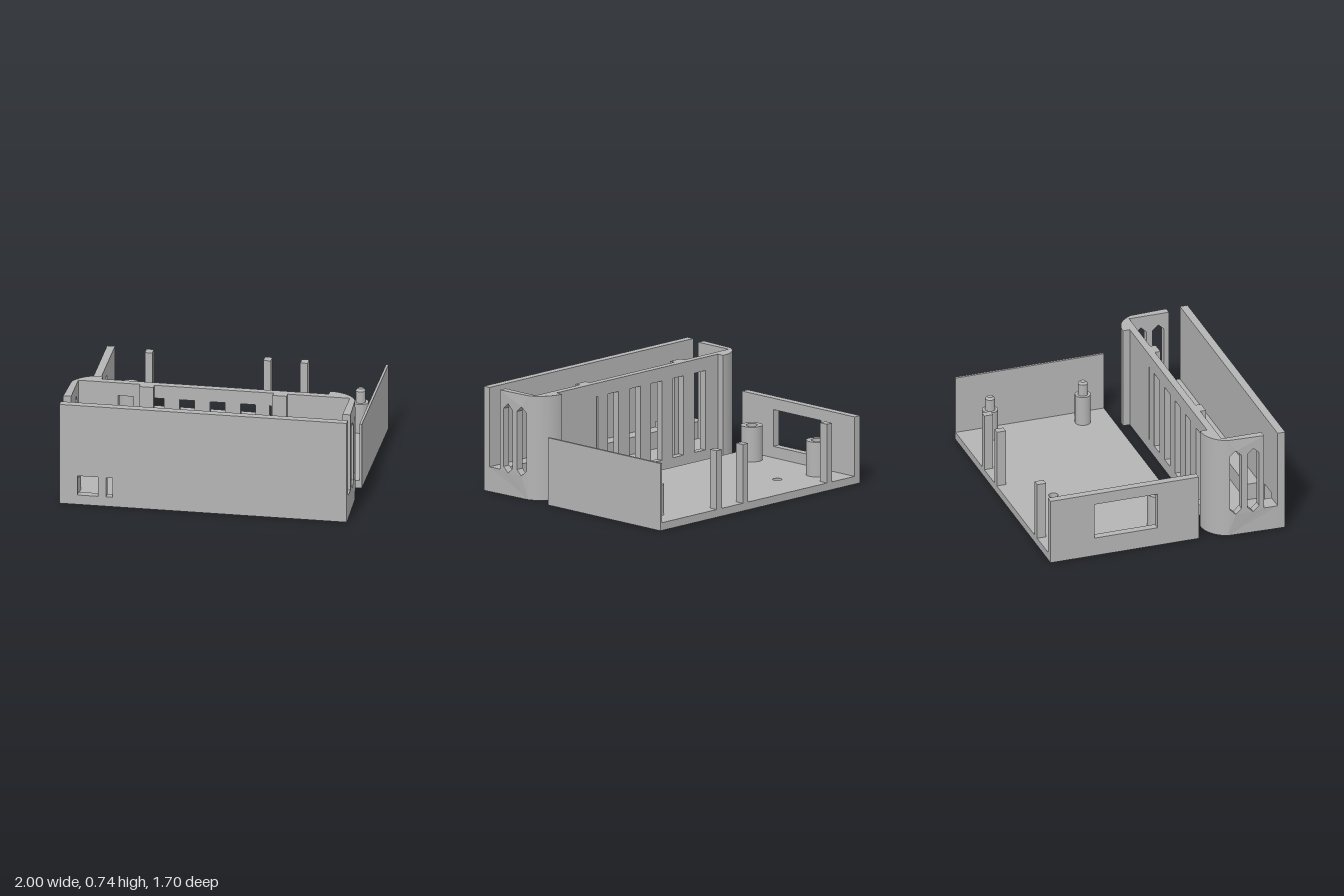
import * as THREE from 'three';
import { toCreasedNormals } from 'three/addons/utils/BufferGeometryUtils.js';

const grey = new THREE.MeshStandardMaterial({ color: 0xb4b4b4 });
grey.name = 'plain grey';

function add(group, name, geometry) {
  const mesh = new THREE.Mesh(geometry, grey);
  mesh.name = name;
  group.add(mesh);
  return mesh;
}

// Box given by its minimum and maximum on each axis
function box(group, name, x0, x1, y0, y1, z0, z1) {
  const g = new THREE.BoxGeometry(x1 - x0, y1 - y0, z1 - z0);
  g.translate((x0 + x1) / 2, (y0 + y1) / 2, (z0 + z1) / 2);
  return add(group, name, g);
}

const poly = (pts) => new THREE.Shape(pts.map(([a, b]) => new THREE.Vector2(a, b)));
const rect = (a0, a1, b0, b1) => poly([[a0, b0], [a1, b0], [a1, b1], [a0, b1]]);
const disc = (x, y, r) => new THREE.Shape().absarc(x, y, r, 0, Math.PI * 2);

function extrude(shape, depth, holes = []) {
  shape.holes.push(...holes);
  return new THREE.ExtrudeGeometry(shape, { depth, bevelEnabled: false, curveSegments: 32 });
}

// Plan outline drawn as (x, -z), raised from y0 to y1
function raise(shape, y0, y1, holes) {
  const g = extrude(shape, y1 - y0, holes).rotateX(-Math.PI / 2).translate(0, y0, 0);
  return toCreasedNormals(g, 0.5);
}

// Side outline drawn as (z, y), filling x0 to x1
function sideways(shape, x0, x1, holes) {
  return extrude(shape, x1 - x0, holes).rotateY(-Math.PI / 2).translate(x1, 0, 0);
}

const FLOOR = 0.055;
const H = 0.735;

function buildBase() {
  const base = new THREE.Group();
  base.name = 'baseTray';

  // Floor with two screw holes
  add(base, 'baseFloor', raise(rect(-0.96, 1, -0.23, 0.85), 0, FLOOR,
    [disc(-0.475, 0.53, 0.033), disc(-0.12, 0.53, 0.033)]));

  // Thick end wall with a window, thin end wall opposite
  add(base, 'windowWall', sideways(rect(-0.85, 0.23, FLOOR, 0.475), -0.96, -0.905,
    [rect(-0.53, -0.07, 0.135, 0.395)]));
  box(base, 'thinWall', 0.983, 1, FLOOR, 0.475, -0.85, 0.23);

  // Square posts along the back edge
  for (const x of [-0.66, 0.165, 0.422]) {
    box(base, 'backPost', x - 0.026, x + 0.026, FLOOR, 0.47, -0.85, -0.785);
  }

  // Hollow screw bosses
  for (const z of [-0.625, 0]) {
    add(base, 'screwBoss', raise(disc(-0.765, -z, 0.075), FLOOR, 0.3, [disc(-0.765, -z, 0.04)]));
  }

  // Stepped locating pegs with chamfered tips
  const profile = [[0.055, FLOOR], [0.055, 0.27], [0.034, 0.27], [0.034, 0.355], [0.02, 0.37], [0, 0.37]];
  for (const z of [-0.65, 0.025]) {
    const g = new THREE.LatheGeometry(profile.map(([r, y]) => new THREE.Vector2(r, y)), 32);
    add(base, 'locatingPeg', toCreasedNormals(g, 0.5)).position.set(0.84, 0, z);
  }
  return base;
}

// Tall slot pointed at both ends
const slot = (z0, z1) => poly([[z0, 0.2], [(z0 + z1) / 2, 0.16], [z1, 0.2],
  [z1, 0.61], [(z0 + z1) / 2, 0.65], [z0, 0.61]]);

function buildShell() {
  const shell = new THREE.Group();
  shell.name = 'coverShell';

  // Front plate with connector openings
  add(shell, 'frontPlate', extrude(rect(-1, 1, 0, H), 0.055,
    [rect(-0.875, -0.73, 0.07, 0.212), rect(-0.675, -0.63, 0.07, 0.212)]).translate(0, 0, 0.79));

  box(shell, 'shellFloor', -0.945, 0.945, 0, FLOOR, 0.4, 0.79);
  box(shell, 'ledgeShort', -0.945, -0.875, FLOOR, 0.175, 0.69, 0.79);
  box(shell, 'ledgeLong', -0.63, 0.945, FLOOR, 0.175, 0.69, 0.79);

  // Back wall with a row of vents and one narrow slit
  const vents = [rect(0.385, 0.4, 0.08, 0.64)];
  for (let i = 0; i < 5; i++) {
    const x = 0.237 - i * 0.213;
    vents.push(rect(x - 0.053, x + 0.053, 0.08, 0.64));
  }
  add(shell, 'backWall', extrude(rect(-0.79, 0.79, 0, H), 0.05, vents).translate(0, 0, 0.35));

  for (const s of [-1, 1]) {
    // Slotted side wall, its outer face following the corner curve
    const outline = poly([[0.43, 0], [0.79, 0], [0.79, 0.175], [0.69, 0.175], [0.69, H], [0.43, H]]);
    const g = sideways(outline, s > 0 ? 0.945 : -1, s > 0 ? 1 : -0.945,
      [slot(0.445, 0.527), slot(0.57, 0.655)]);
    const p = g.attributes.position;
    for (let i = 0; i < p.count; i++) {
      const dz = 0.5 - p.getZ(i);
      if (Math.abs(p.getX(i)) > 0.99 && dz > 0) p.setX(i, s * (0.8 + Math.sqrt(0.04 - dz * dz)));
    }
    g.computeVertexNormals();
    add(shell, 'slottedSide', g);

    // Rounded back corner, square inside
    const pts = [];
    const start = Math.asin(0.35);
    for (let i = 0; i <= 24; i++) {
      const a = start + (Math.PI / 2 - start) * i / 24;
      pts.push([s * (0.8 + 0.2 * Math.cos(a)), -(0.5 - 0.2 * Math.sin(a))]);
    }
    pts.push([s * 0.79, -0.3], [s * 0.79, -0.4], [s * 0.945, -0.4], [s * 0.945, -0.43]);
    add(shell, 'roundedCorner', raise(poly(pts), 0, H));

    // Board clip: tall rib on the back wall and a low hook
    const span = (a, b) => (s > 0 ? [a, b] : [-b, -a]);
    box(shell, 'clipRib', ...span(0.415, 0.513), FLOOR, H, 0.4, 0.44);
    box(shell, 'clipArm', ...span(0.455, 0.513), FLOOR, 0.265, 0.44, 0.55);
    box(shell, 'clipFoot', ...span(0.428, 0.455), FLOOR, 0.265, 0.51, 0.55);
  }
  return shell;
}

export function createModel() {
  const model = new THREE.Group();
  model.name = 'twoPartEnclosure';
  model.add(buildBase(), buildShell());
  return model;
}
